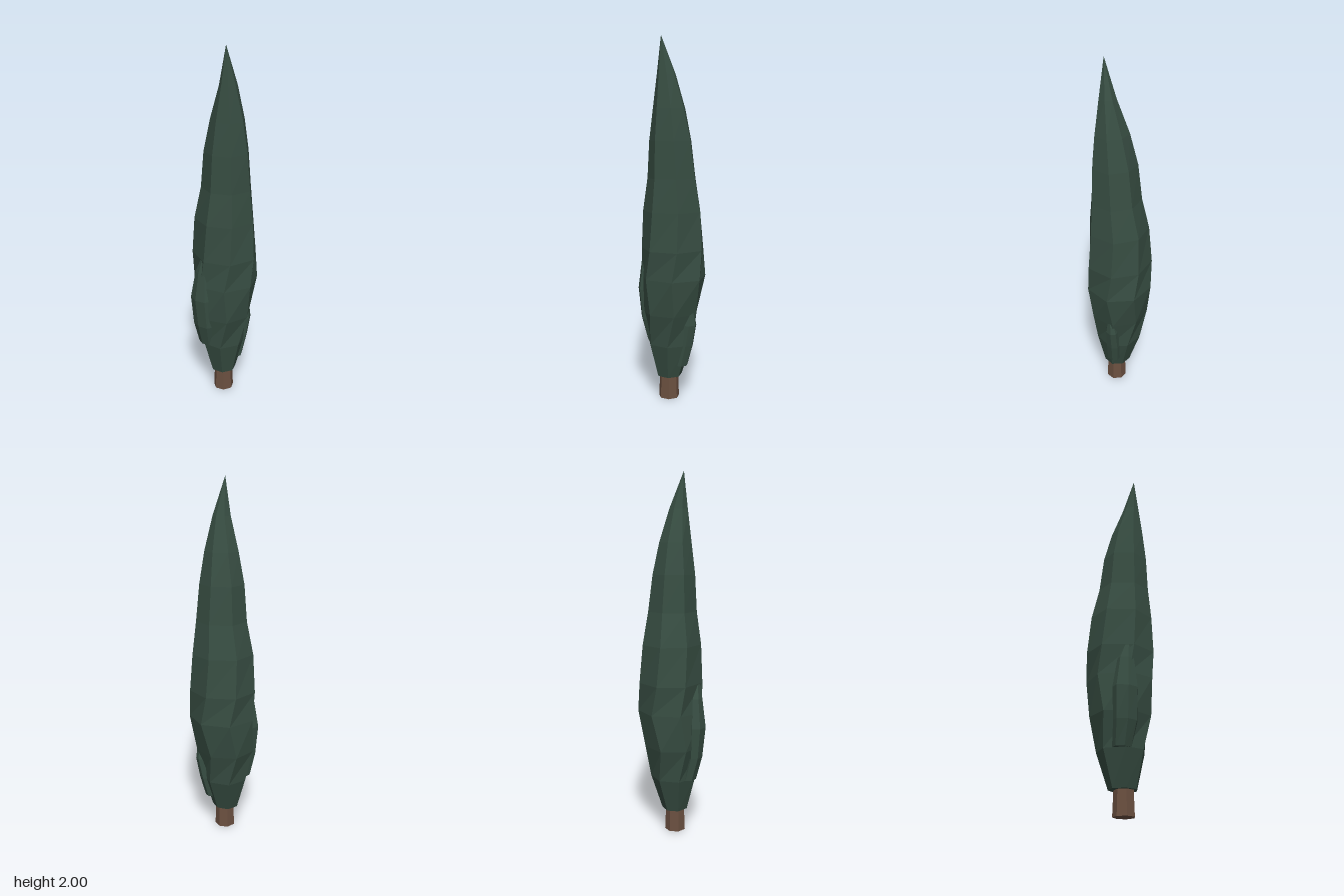
import * as THREE from 'three';

// Irregular seven-sided outline, scaled to each ring's extents
const OUTLINE = [[0.06, 1], [0.87, 0.57], [1, -0.29], [0.41, -1], [-0.48, -0.97], [-1, -0.17], [-0.77, 0.66]];

// Faceted body from rings [y, xMin, xMax, zMin, zMax, twist] closing in a point [x, y, z]
function facetedBody(rings, tip) {
  const n = OUTLINE.length;
  const loops = rings.map(([y, x0, x1, z0, z1, twist = 0]) => OUTLINE.map(([u, v]) => {
    const c = Math.cos(twist), s = Math.sin(twist);
    const px = u * c + v * s, pz = v * c - u * s;
    return [(x0 + x1) / 2 + px * (x1 - x0) / 2, y, (z0 + z1) / 2 + pz * (z1 - z0) / 2];
  }));
  const pos = [];
  const tri = (...pts) => pts.forEach((p) => pos.push(...p));
  const [y, x0, x1, z0, z1] = rings[0];
  const base = [(x0 + x1) / 2, y, (z0 + z1) / 2];
  for (let i = 0; i < n; i++) {
    const j = (i + 1) % n;
    tri(base, loops[0][j], loops[0][i]);
    for (let k = 0; k < loops.length - 1; k++) {
      const a = loops[k], b = loops[k + 1];
      tri(a[i], a[j], b[j]);
      tri(a[i], b[j], b[i]);
    }
    const top = loops[loops.length - 1];
    tri(top[i], top[j], tip);
  }
  const geo = new THREE.BufferGeometry();
  geo.setAttribute('position', new THREE.Float32BufferAttribute(pos, 3));
  geo.computeVertexNormals();
  return geo;
}

export function createModel() {
  const tree = new THREE.Group();
  tree.name = 'cypressTree';
  const foliageGreen = new THREE.MeshStandardMaterial({ color: 0x374d42, flatShading: true });
  foliageGreen.name = 'foliageGreen';
  const barkBrown = new THREE.MeshStandardMaterial({ color: 0x6b5040, flatShading: true });
  barkBrown.name = 'barkBrown';

  const add = (name, geo, mat) => {
    const mesh = new THREE.Mesh(geo, mat);
    mesh.name = name;
    tree.add(mesh);
    return mesh;
  };

  // Short trunk, slightly wider at the ground
  add('trunk', new THREE.CylinderGeometry(0.05, 0.058, 0.2, 7), barkBrown).position.set(-0.015, 0.1, 0);

  // Tall leaning crown
  add('crown', facetedBody([
    [0.13, -0.085, 0.055, -0.075, 0.07, -0.12],
    [0.32, -0.135, 0.115, -0.13, 0.115, -0.15],
    [0.5, -0.16, 0.148, -0.165, 0.15, 0.08],
    [0.7, -0.17, 0.185, -0.175, 0.175, -0.08],
    [0.86, -0.165, 0.18, -0.178, 0.178, 0.08],
    [1.07, -0.155, 0.165, -0.16, 0.165, 0.15],
    [1.25, -0.13, 0.135, -0.12, 0.15, 0.12],
    [1.45, -0.12, 0.11, -0.1, 0.14, 0.1],
    [1.62, -0.1, 0.075, -0.06, 0.12, 0.06],
    [1.8, -0.078, 0.022, 0, 0.088, 0],
  ], [-0.055, 2, 0.05]), foliageGreen);

  // Smaller tufts swelling out of the crown
  add('rightTuft', facetedBody([
    [0.32, -0.138, -0.06, -0.1, 0],
    [0.45, -0.172, -0.09, -0.11, 0.02],
    [0.62, -0.19, -0.09, -0.118, 0.02],
    [0.78, -0.17, -0.1, -0.09, 0],
  ], [-0.14, 0.92, -0.03]), foliageGreen);
  add('leftTuft', facetedBody([
    [0.2, 0.01, 0.09, 0, 0.075],
    [0.32, 0.03, 0.12, 0.01, 0.09],
    [0.44, 0.05, 0.138, 0.03, 0.1],
  ], [0.11, 0.6, 0.08]), foliageGreen);

  return tree;
}
